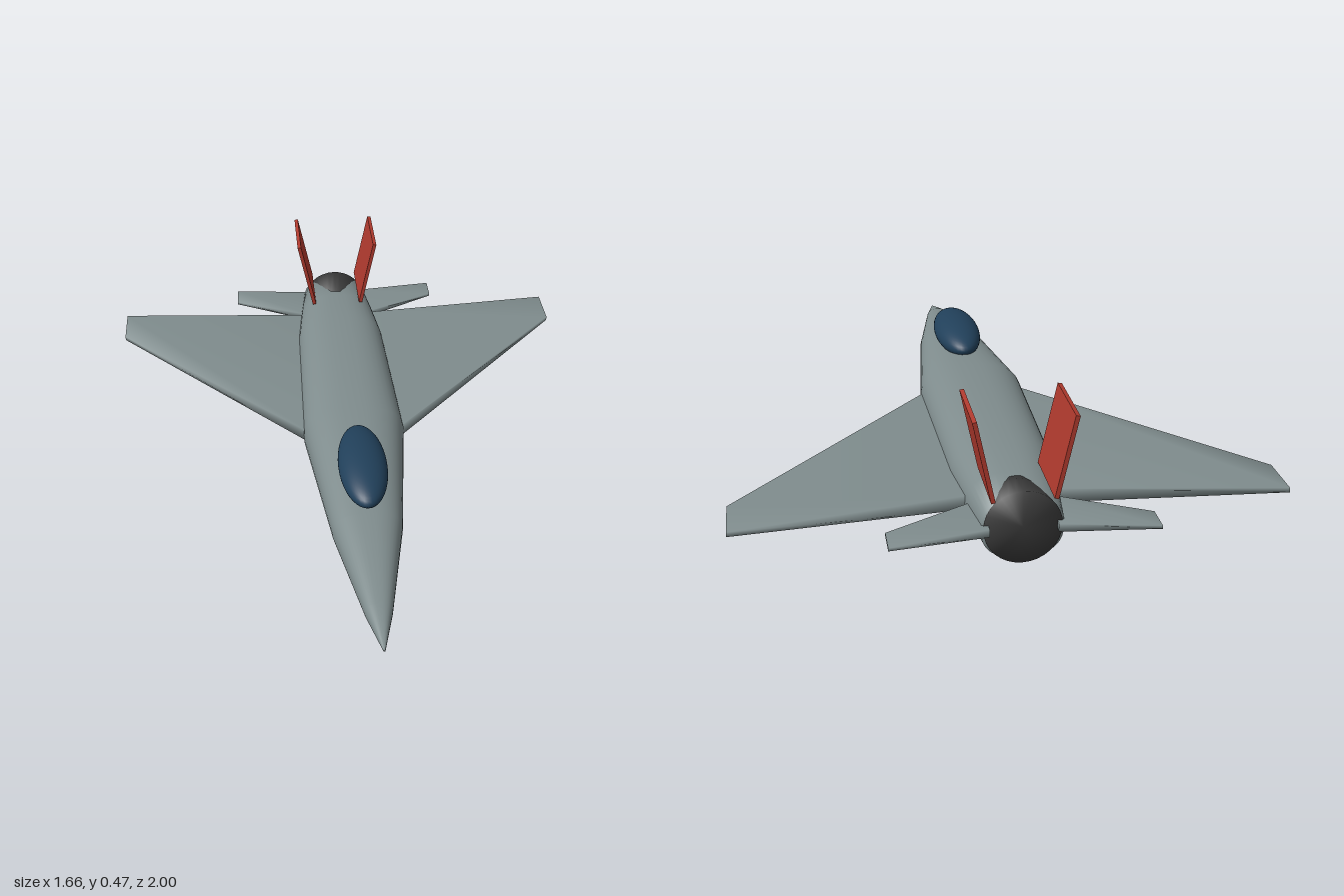
import * as THREE from 'three';

const material = (color, extra = {}) => new THREE.MeshStandardMaterial({ color, ...extra });
const grey = material(0x7f8c8d);
const red = material(0xb03a2e);
const glass = material(0x21405a);
const dark = material(0x3a3a3a);

// Skin a list of equal-sized rings of [x, y, z] points, closing both ends
function loft(rings) {
  const n = rings[0].length;
  const points = rings.flat();
  const index = [];
  for (let i = 0; i < rings.length - 1; i++) {
    for (let j = 0; j < n; j++) {
      const k = (j + 1) % n;
      const a = i * n + j, b = i * n + k, c = b + n, d = a + n;
      index.push(a, b, c, a, c, d);
    }
  }
  const last = rings.length - 1;
  for (const i of [0, last]) {
    const centre = points.length;
    points.push([0, 1, 2].map((axis) => rings[i].reduce((sum, p) => sum + p[axis], 0) / n));
    for (let j = 0; j < n; j++) {
      const a = i * n + j, b = i * n + ((j + 1) % n);
      index.push(centre, ...(i === 0 ? [b, a] : [a, b]));
    }
  }
  const geometry = new THREE.BufferGeometry();
  geometry.setAttribute('position', new THREE.Float32BufferAttribute(points.flat(), 3));
  geometry.setIndex(index);
  geometry.computeVertexNormals();
  return geometry;
}

// Rounded body section at z: half width, bottom and top heights
function bodyRing([z, halfWidth, bottom, top], power = 2.5, sides = 40) {
  const bend = (v) => Math.sign(v) * Math.abs(v) ** (2 / power);
  return Array.from({ length: sides }, (_, j) => {
    const t = (j / sides) * Math.PI * 2;
    return [
      halfWidth * bend(Math.cos(t)),
      (bottom + top) / 2 + ((top - bottom) / 2) * bend(Math.sin(t)),
      z,
    ];
  });
}

// Tapered slab surface; each station is [x, leading z, trailing z, thickness]
function surface(stations, y, side) {
  const rings = stations.map(([x, lead, trail, thick]) => [
    [side * x, y + thick / 2, lead],
    [side * x, y - thick / 2, lead],
    [side * x, y - thick / 2, trail],
    [side * x, y + thick / 2, trail],
  ]);
  return loft(side > 0 ? rings : rings.reverse());
}

export function createModel() {
  const model = new THREE.Group();
  const add = (name, geometry, mat) => {
    const mesh = new THREE.Mesh(geometry, mat);
    mesh.name = name;
    model.add(mesh);
    return mesh;
  };

  // Fuselage, from tail to nose
  const sections = [
    [-0.93, 0.12, 0.02, 0.215],
    [-0.78, 0.14, 0.02, 0.22],
    [-0.6, 0.16, 0.01, 0.23],
    [0, 0.175, 0.003, 0.236],
    [0.5, 0.113, 0.03, 0.187],
    [0.85, 0.042, 0.056, 0.135],
    [1, 0.003, 0.088, 0.094],
  ];
  add('fuselage', loft(sections.map((s) => bodyRing(s))), grey);

  // Flared exhaust nozzle
  const nozzle = [[-0.935, 0.115, 0.005, 0.235], [-0.81, 0.1, 0.02, 0.22]];
  add('nozzle', loft(nozzle.map((s) => bodyRing(s, 2, 32))), dark);

  // Canopy bubble
  const canopy = add('canopy', new THREE.SphereGeometry(1, 40, 24), glass);
  canopy.scale.set(0.08, 0.054, 0.207);
  canopy.position.set(0, 0.238, 0.32);

  for (const side of [1, -1]) {
    const label = side > 0 ? 'left' : 'right';

    // Swept main wing and tailplane
    add(label + 'Wing', surface([[0.14, 0.02, -0.768, 0.045], [0.83, -0.693, -0.846, 0.015]], 0.121, side), grey);
    add(label + 'Tailplane', surface([[0.1, -0.777, -0.957, 0.025], [0.39, -0.915, -1, 0.01]], 0.121, side), grey);

    // Outward leaning fin
    const fin = add(label + 'Fin', new THREE.BoxGeometry(0.013, 0.257, 0.23), red);
    fin.position.set(side * 0.117, 0.341, -0.843);
    fin.rotation.z = -side * 0.21;
  }
  return model;
}
